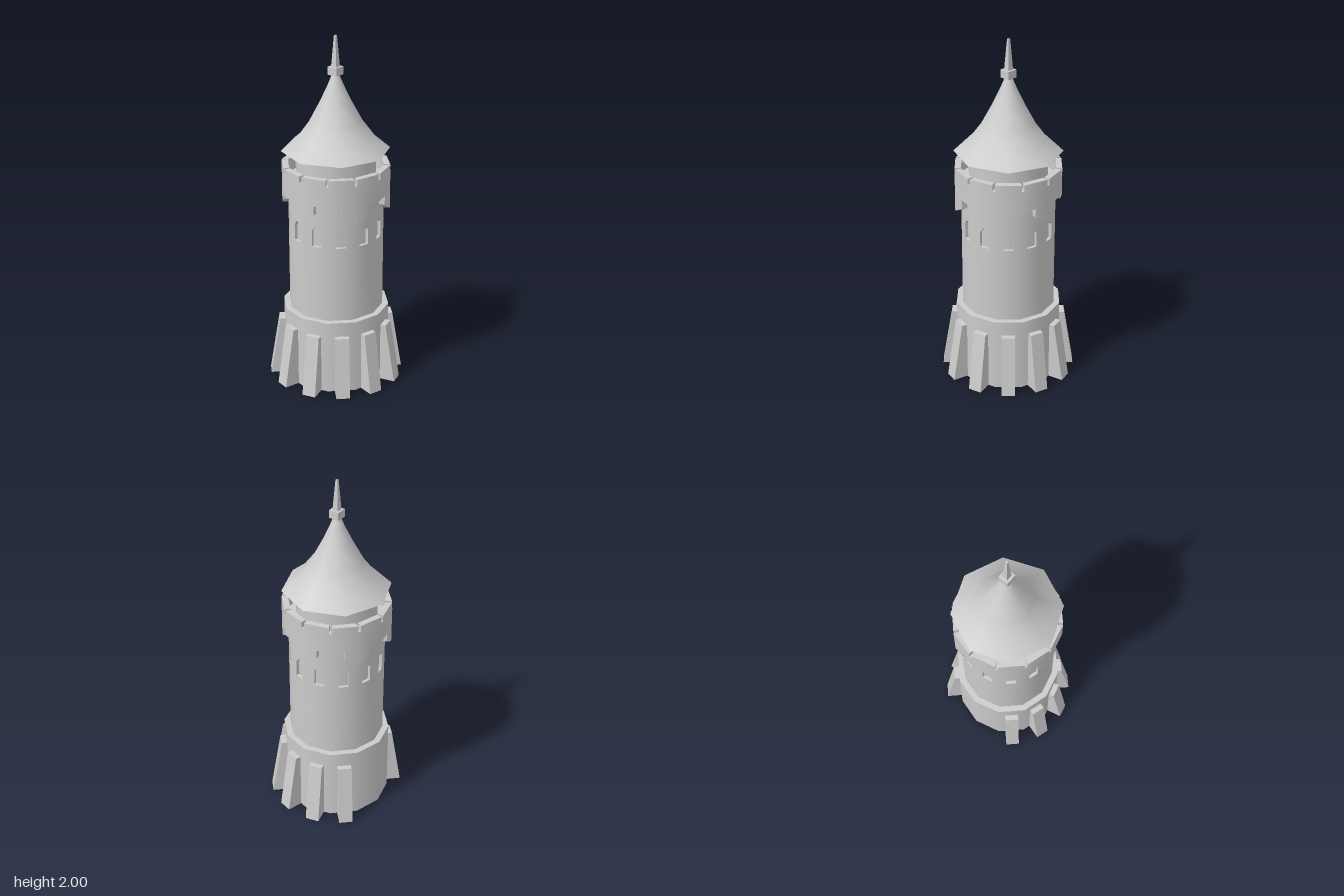
import * as THREE from 'three';

const SIDES = 12;
const STEP = (Math.PI * 2) / SIDES;
const smooth = new THREE.MeshStandardMaterial({ color: 0xcccccc, side: THREE.DoubleSide });
const faceted = new THREE.MeshStandardMaterial({ color: 0xcccccc, flatShading: true });

function add(parent, name, geometry, material = smooth) {
  const mesh = new THREE.Mesh(geometry, material);
  mesh.name = name;
  parent.add(mesh);
  return mesh;
}

// Open twelve-sided wall between two heights
function wall(radius, y0, y1) {
  return new THREE.CylinderGeometry(radius, radius, y1 - y0, SIDES, 1, true).translate(0, (y0 + y1) / 2, 0);
}

// Flat horizontal ring
function ring(inner, outer, y, sides, up = true) {
  return new THREE.RingGeometry(inner, outer, sides).rotateX(up ? -Math.PI / 2 : Math.PI / 2).translate(0, y, 0);
}

function shapeOf(points) {
  return new THREE.Shape(points.map(([x, y]) => new THREE.Vector2(x, y)));
}

// Extrudes one facet of a round wall: mitred towards the axis, rounded normals on the outside
function facet(shape, radius, depth) {
  const apothem = radius * Math.cos(STEP / 2);
  const g = new THREE.ExtrudeGeometry(shape, { depth, bevelEnabled: false }).translate(0, 0, apothem - depth);
  const p = g.attributes.position, n = g.attributes.normal;
  for (let i = 0; i < p.count; i++) {
    const x = p.getX(i), z = p.getZ(i);
    if (n.getZ(i) > 0.9) {
      const l = Math.hypot(x, z);
      n.setXYZ(i, x / l, 0, z / l);
    }
    p.setX(i, (x * z) / apothem);
  }
  return g;
}

// Shaft facet with a pointed window niche
function shaftFacet(radius) {
  const w = radius * Math.sin(STEP / 2);
  const shape = shapeOf([[-w, 0.42], [w, 0.42], [w, 1.2], [-w, 1.2]]);
  shape.holes.push(shapeOf([[-0.028, 0.875], [-0.028, 0.965], [-0.008, 0.992], [0.008, 0.992], [0.028, 0.965], [0.028, 0.875]]));
  return facet(shape, radius, 0.018);
}

// Parapet facet: half a corbel at one end, a slit at each upper corner
function parapetFacet(radius, side) {
  const w = radius * Math.sin(STEP / 2), s = 0.008;
  const pts = [
    [-w, 1.03], [0, 1.075], [0, 1.127], [w, 1.127],
    [w, 1.25], [w - s, 1.25], [w - s, 1.285], [-w + s, 1.285], [-w + s, 1.25], [-w, 1.25],
  ].map(([x, y]) => [x * side, y]);
  return facet(shapeOf(side > 0 ? pts : pts.reverse()), radius, 0.034);
}

// Buttress with upright back and sloping front
function buttressGeometry() {
  const profile = shapeOf([[0.29, 0], [0.384, 0], [0.326, 0.35], [0.29, 0.35]]);
  return new THREE.ExtrudeGeometry(profile, { depth: 0.078, bevelEnabled: false })
    .translate(0, 0, -0.039).rotateY(-Math.PI / 2);
}

export function createModel() {
  const model = new THREE.Group();
  const tower = new THREE.Group();
  tower.name = 'tower';
  tower.position.x = -0.038;
  model.add(tower);

  // Open base with a ledge
  add(tower, 'baseWall', wall(0.305, 0, 0.435));
  add(tower, 'baseLedge', ring(0.25, 0.305, 0.435, SIDES));

  // Shaft, parapet and buttresses, facet by facet
  const windowed = shaftFacet(0.27);
  const parapets = [parapetFacet(0.305, 1), parapetFacet(0.305, -1)];
  const buttress = buttressGeometry();
  for (let k = 0; k < SIDES; k++) {
    const angle = (k + 0.5) * STEP;
    add(tower, 'shaftFacet', windowed).rotation.y = angle;
    add(tower, 'parapetFacet', parapets[k % 2]).rotation.y = angle;
    // The two places on the right side stay free
    if (k !== 8 && k !== 9) add(tower, 'buttress', buttress, faceted).rotation.y = angle;
  }
  add(tower, 'windowBacks', wall(0.252, 0.42, 1.2));

  // Walkway and drum under the roof
  add(tower, 'walkway', ring(0.2, 0.275, 1.2, SIDES));
  add(tower, 'drum', wall(0.225, 1.2, 1.36));

  // Flared eight-sided roof
  const roofProfile = [[0.303, 1.36], [0.215, 1.435], [0.147, 1.525], [0.085, 1.64], [0.045, 1.725], [0.018, 1.79]]
    .map(([r, y]) => new THREE.Vector2(r, y));
  add(tower, 'roof', new THREE.LatheGeometry(roofProfile, 8));
  add(tower, 'eaves', ring(0.2, 0.303, 1.36, 8, false));

  // Finial: block with a square spike
  add(tower, 'finialBlock', new THREE.BoxGeometry(0.06, 0.045, 0.06).translate(0, 1.807, 0), faceted);
  const spike = new THREE.CylinderGeometry(0.006 * Math.SQRT2, 0.017 * Math.SQRT2, 0.172, 4);
  add(tower, 'finialSpike', spike.rotateY(Math.PI / 4).translate(0, 1.914, 0), faceted);

  return model;
}
